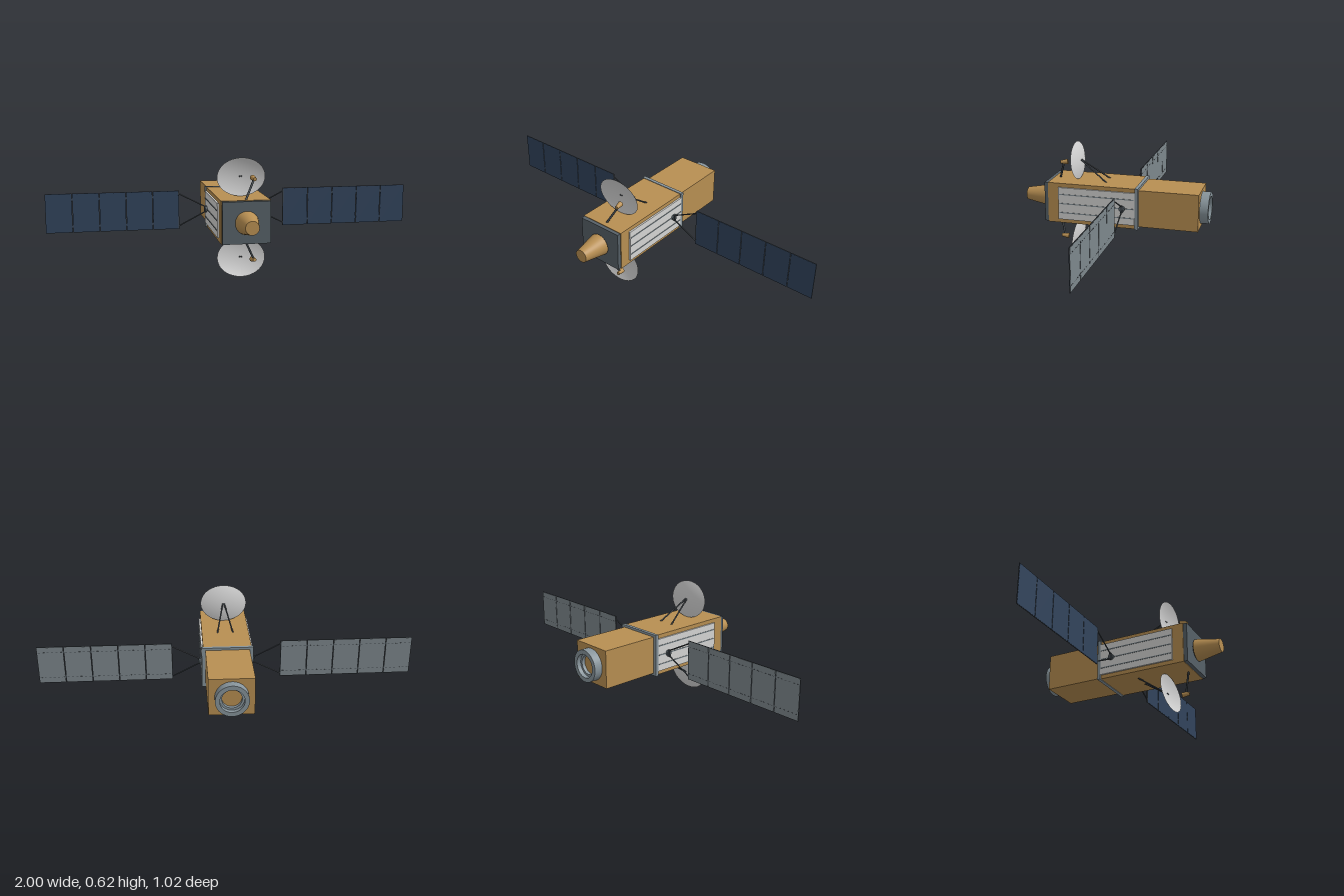
import * as THREE from 'three';

const mat = (name, color, side = THREE.FrontSide) => {
  const m = new THREE.MeshStandardMaterial({ color, side });
  m.name = name;
  return m;
};

export function createModel() {
  const gold = mat('gold foil', 0xb88f52);
  const white = mat('radiator white', 0xd6d6d4);
  const dishGrey = mat('dish light grey', 0xd2d2d2, THREE.DoubleSide);
  const navy = mat('solar cell navy', 0x31435b);
  const backGrey = mat('panel back grey', 0x7d878c);
  const metal = mat('metal grey', 0x87949b, THREE.DoubleSide);
  const slate = mat('slate plate', 0x566067);
  const dark = mat('strut dark grey', 0x434a50);

  const root = new THREE.Group();
  root.name = 'satellite';
  const MID = 0.32;

  const add = (parent, name, geo, material, x = 0, y = 0, z = 0) => {
    const mesh = new THREE.Mesh(geo, material);
    mesh.name = name;
    mesh.position.set(x, y, z);
    parent.add(mesh);
    return mesh;
  };
  const box = (parent, name, size, pos, material) =>
    add(parent, name, new THREE.BoxGeometry(...size), material, ...pos);
  // Tapered round bar from point a (radius ra) to point b (radius rb)
  const rod = (parent, name, a, b, ra, rb, material, sides = 10) => {
    const p = new THREE.Vector3(...a), q = new THREE.Vector3(...b);
    const dir = q.clone().sub(p);
    const mid = p.clone().add(q).multiplyScalar(0.5);
    const mesh = add(parent, name, new THREE.CylinderGeometry(rb, ra, dir.length(), sides), material, mid.x, mid.y, mid.z);
    mesh.quaternion.setFromUnitVectors(new THREE.Vector3(0, 1, 0), dir.normalize());
    return mesh;
  };

  // Bus: two gold boxes, a flange between them and a front plate
  const bus = new THREE.Group();
  bus.name = 'bus';
  bus.position.y = MID;
  root.add(bus);
  box(bus, 'mainBody', [0.254, 0.22, 0.49], [0, 0, 0.105], gold);
  box(bus, 'rearBody', [0.232, 0.2, 0.325], [0, 0, -0.3025], gold);
  box(bus, 'flange', [0.27, 0.226, 0.018], [0, 0, -0.139], metal);
  box(bus, 'frontPlate', [0.246, 0.215, 0.021], [0, 0, 0.36], slate);

  // Front horn
  rod(bus, 'frontHornCollar', [0, 0, 0.368], [0, 0, 0.378], 0.05, 0.05, dark, 32);
  rod(bus, 'frontHorn', [0, 0, 0.376], [0, 0, 0.51], 0.06, 0.035, gold, 40);

  // Hollow rear ring with a gold floor
  const ringProfile = [[0.085, 0], [0.085, 0.045], [0.085, 0.045], [0.062, 0.045], [0.062, 0.045],
    [0.062, 0.022], [0.062, 0.022], [0.05, 0.022], [0.05, 0.022], [0.05, 0]].map(p => new THREE.Vector2(...p));
  add(bus, 'rearRing', new THREE.LatheGeometry(ringProfile, 48), metal, 0, 0, -0.465).rotation.x = -Math.PI / 2;
  rod(bus, 'rearNozzleFloor', [0, 0, -0.46], [0, 0, -0.469], 0.052, 0.052, gold, 32);

  // Side radiators with pipes
  for (const s of [-1, 1]) {
    box(bus, 'radiator', [0.009, 0.177, 0.42], [s * 0.1315, 0, 0.08], white);
    for (const y of [-0.051, 0, 0.051])
      box(bus, 'radiatorPipe', [0.003, 0.005, 0.41], [s * 0.137, y, 0.079], metal);
  }

  // Solar wing, built toward +x from the hub
  const PITCH = 0.142, H = 0.21, START = 0.29;
  const makeWing = (s) => {
    const wing = new THREE.Group();
    wing.name = s > 0 ? 'leftWing' : 'rightWing';
    wing.position.set(0, MID, -0.063);
    root.add(wing);
    rod(wing, 'hub', [s * 0.126, 0, 0], [s * 0.147, 0, 0], 0.016, 0.016, slate, 20);
    box(wing, 'hubBracket', [0.012, 0.036, 0.012], [s * 0.146, 0, 0], dark);
    for (const t of [-1, 1])
      rod(wing, 'yokeArm', [s * 0.142, t * 0.012, 0], [s * 0.293, t * 0.09, 0], 0.0035, 0.0035, dark, 8);
    box(wing, 'yokeBar', [0.004, H, 0.006], [s * 0.291, 0, 0], dark);
    for (let i = 0; i < 5; i++) {
      const x = s * (START + PITCH * (i + 0.5)), w = PITCH - 0.003;
      box(wing, 'panelFrame', [w, H, 0.004], [x, 0, 0], dark);
      box(wing, 'solarCells', [w - 0.001, H - 0.002, 0.001], [x, 0, 0.0024], navy);
      box(wing, 'panelBack', [w - 0.003, H - 0.005, 0.001], [x, 0, -0.0024], backGrey);
      for (const t of [-1, 1]) {
        for (let k = 0; k < 6; k++)
          box(wing, 'backDash', [0.011, 0.0025, 0.001], [x + (k - 2.5) * 0.023, t * 0.073, -0.0031], dark);
        if (i < 4)
          box(wing, 'hinge', [0.008, 0.014, 0.004], [s * (START + PITCH * (i + 1)), t * 0.073, -0.001], dark);
      }
    }
  };
  makeWing(1);
  makeWing(-1);

  // Shallow elliptical dish: a paraboloid whose opening faces +z
  const dishPoints = [];
  for (let i = 0; i <= 12; i++) dishPoints.push(new THREE.Vector2(i / 12, (i / 12) ** 2));
  const dishGeo = new THREE.LatheGeometry(dishPoints, 48);
  dishGeo.rotateX(Math.PI / 2);
  dishGeo.scale(0.126, 0.101, 0.019);
  dishGeo.computeVertexNormals();

  // One antenna above the bus and one mirrored below
  for (const t of [1, -1]) {
    const ant = new THREE.Group();
    ant.name = t > 0 ? 'upperAntenna' : 'lowerAntenna';
    root.add(ant);
    const at = (x, y, z) => [x, MID + t * y, z];
    const dish = add(ant, 'dish', dishGeo, dishGrey, ...at(0, 0.213, 0.2));
    dish.rotation.x = t * 0.11;
    for (const s of [-1, 1])
      rod(ant, 'dishStrut', at(s * 0.043, 0.105, 0.045), at(s * 0.004, 0.214, 0.201), 0.004, 0.004, dark);
    rod(ant, 'feedStrut', at(0.004, 0.106, 0.32), at(0.053, 0.205, 0.282), 0.0055, 0.0055, dark);
    rod(ant, 'feedHorn', at(0.056, 0.208, 0.3), at(0.05, 0.212, 0.261), 0.009, 0.014, gold, 20);
  }

  return root;
}
